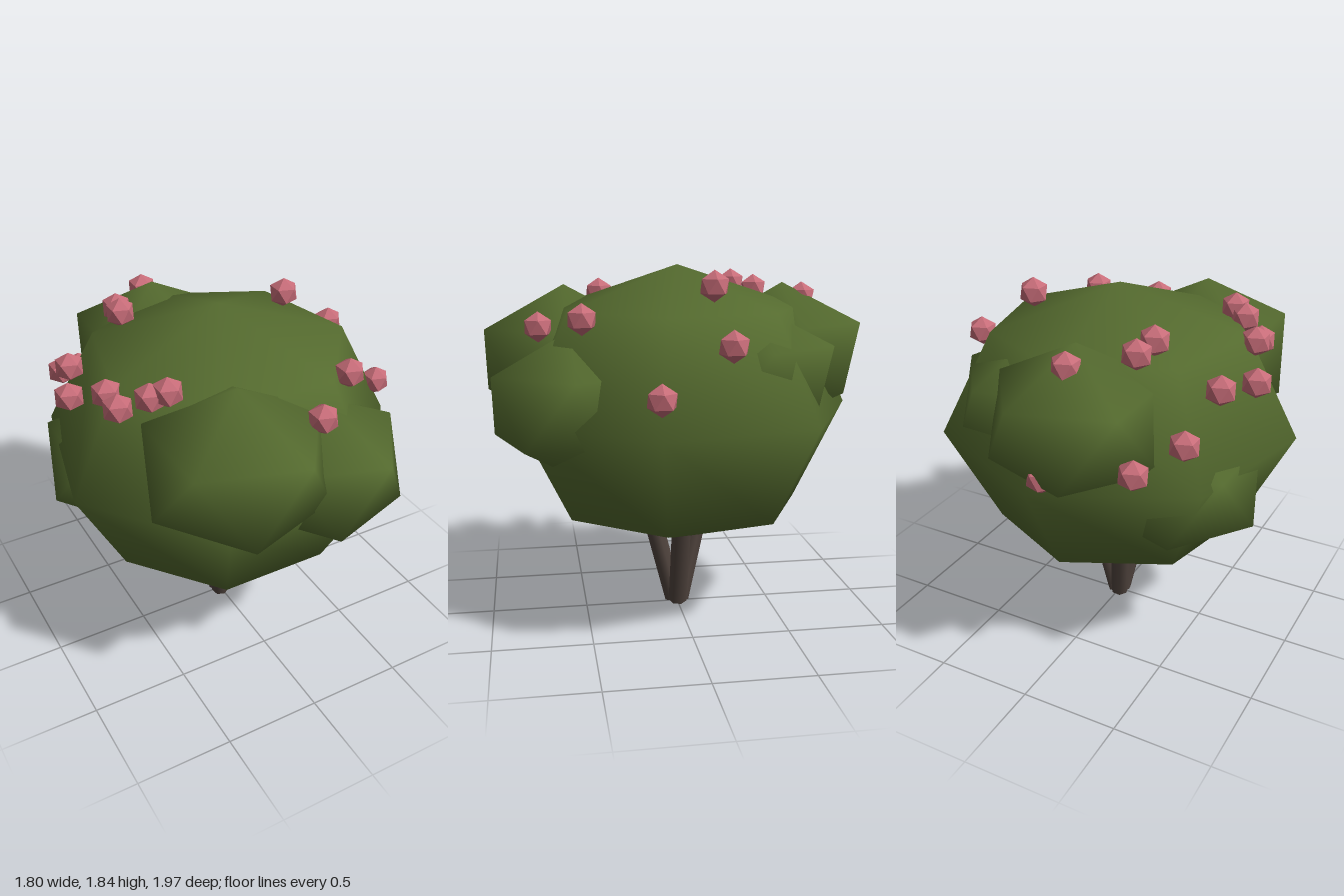
import * as THREE from 'three';
import { mergeVertices } from 'three/addons/utils/BufferGeometryUtils.js';

const leafGreen = new THREE.MeshStandardMaterial({ name: 'leafGreen', color: 0x556b2f });
const barkBrown = new THREE.MeshStandardMaterial({ name: 'barkBrown', color: 0x4e423c });
const blossomPink = new THREE.MeshStandardMaterial({ name: 'blossomPink', color: 0xc66c78 });

// Icosahedron standing on one of its corners
function uprightIcosahedron(radius) {
  return new THREE.IcosahedronGeometry(radius, 0).rotateZ(-Math.atan(2 / (1 + Math.sqrt(5))));
}

// Same solid with shared corners, for soft shading
function softIcosahedron() {
  let geo = uprightIcosahedron(1);
  geo.deleteAttribute('normal');
  geo.deleteAttribute('uv');
  geo = mergeVertices(geo, 1e-3);
  geo.computeVertexNormals();
  return geo;
}

function add(parent, name, geometry, material, x, y, z) {
  const mesh = new THREE.Mesh(geometry, material);
  mesh.name = name;
  mesh.position.set(x, y, z);
  parent.add(mesh);
  return mesh;
}

export function createModel() {
  const bush = new THREE.Group();
  bush.name = 'bush';

  // Three stems fanning out from the ground
  const up = new THREE.Vector3(0, 1, 0);
  for (let i = 0; i < 3; i++) {
    const a = (i * Math.PI * 2) / 3;
    const at = (r, y) => new THREE.Vector3(Math.cos(a) * r, y, Math.sin(a) * r);
    const from = at(0.018, 0.015), to = at(0.19, 0.62);
    const dir = to.clone().sub(from);
    const geo = new THREE.CylinderGeometry(0.052, 0.05, dir.length(), 7);
    const mid = from.clone().add(to).multiplyScalar(0.5);
    const stem = add(bush, 'stem', geo, barkBrown, mid.x, mid.y, mid.z);
    stem.quaternion.setFromUnitVectors(up, dir.normalize());
  }

  // Main crown, a squashed seven-sided ball
  const crownGeo = new THREE.SphereGeometry(0.915, 7, 4).rotateY(-Math.PI / 2);
  add(bush, 'crown', crownGeo, leafGreen, -0.005, 1.1, 0).scale.y = 0.805;

  // Smaller leaf clumps half sunk into the crown: x, y, z, radius
  const clumpGeo = softIcosahedron();
  const clumps = [
    [-0.23, 1.33, 0.575, 0.49],
    [0.24, 1.165, 0.565, 0.455],
    [-0.09, 1.355, -0.58, 0.47],
    [-0.45, 0.97, -0.23, 0.45],
    [0.27, 1.29, -0.35, 0.44],
  ];
  for (const [x, y, z, r] of clumps) {
    add(bush, 'leafClump', clumpGeo, leafGreen, x, y, z).scale.set(r, r * 0.81, r);
  }

  // Blossoms scattered over the leaves
  const blossomGeo = uprightIcosahedron(0.077);
  const blossoms = [
    [0.43, 1.75, -0.11], [0.41, 1.6, 0.52], [0.13, 1.54, 0.72], [0.74, 1.5, -0.14],
    [0.83, 1.28, 0.2], [-0.37, 1.72, -0.36], [-0.34, 1.69, -0.48], [-0.47, 1.67, 0.37],
    [-0.54, 1.64, 0.33], [-0.66, 1.57, 0.24], [-0.67, 1.6, 0.14], [-0.77, 1.49, -0.09],
    [-0.68, 1.52, -0.31], [-0.63, 1.35, -0.58], [-0.47, 1.25, -0.76], [-0.1, 1.66, -0.69],
    [-0.08, 1.2, -0.89],
  ];
  for (const [x, y, z] of blossoms) add(bush, 'blossom', blossomGeo, blossomPink, x, y, z);

  return bush;
}
